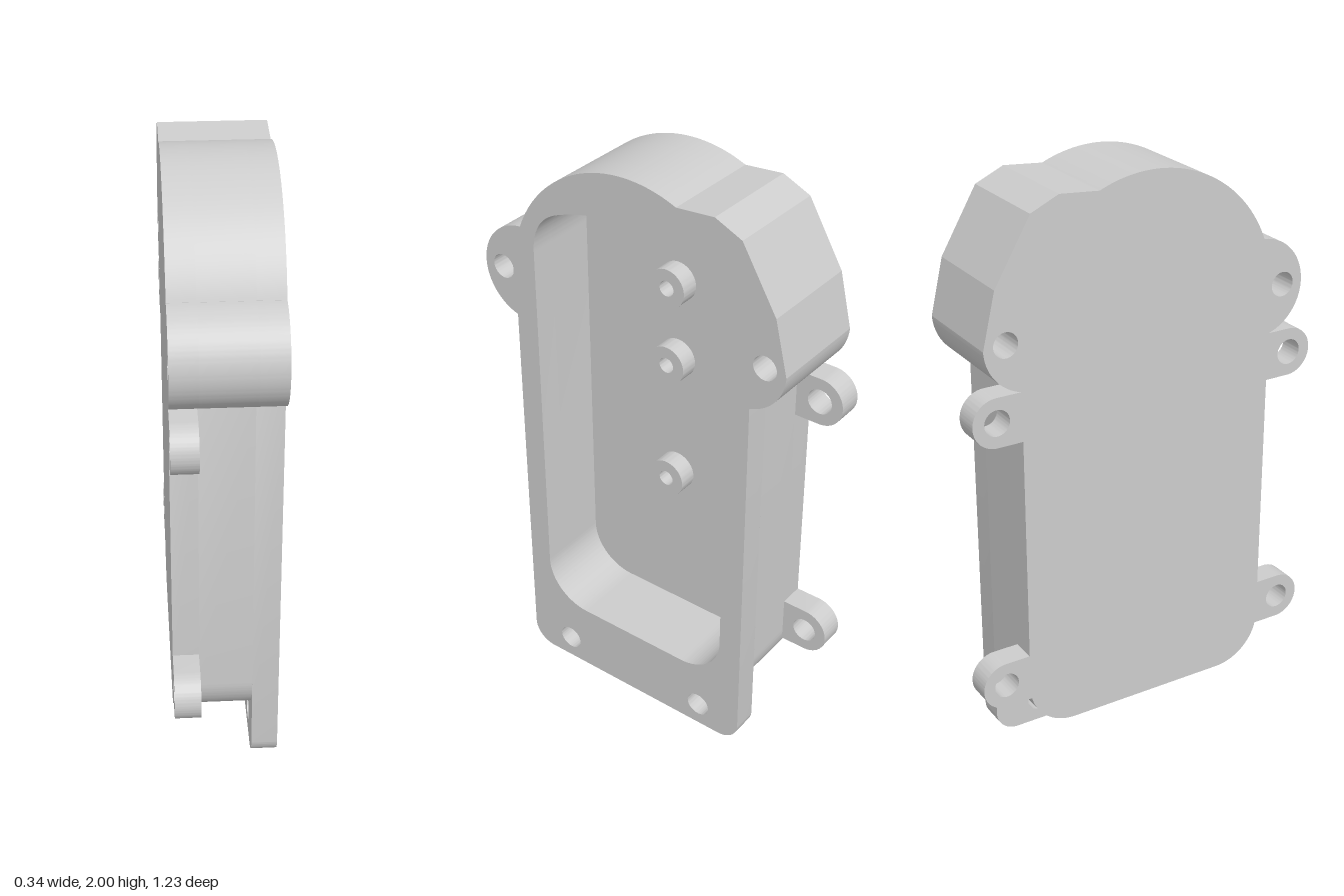
import * as THREE from 'three';
import { toCreasedNormals } from 'three/addons/utils/BufferGeometryUtils.js';

const Q = Math.PI / 2;
// Depth levels along x: back face, cavity floor, flange start, open front face
const BACK = -0.1725, FLOOR = -0.086, FLANGE = 0.086, FACE = 0.1725;

const circle = (u, y, r) => new THREE.Path().absarc(u, y, r, 0, Math.PI * 2, false);

// Housing silhouette (u = -z, y), drawn clockwise, with a chosen bottom edge and corner radius
function housingOutline(bottom, r) {
  const s = new THREE.Shape();
  s.moveTo(-0.45, bottom + r);
  s.lineTo(-0.45, 1.39);
  s.absarc(-0.407, 1.55, 0.165, Math.atan2(-0.16, -0.043), Math.atan2(0.164, -0.013), true);
  s.absarc(0, 1.548, 0.452, Math.atan2(0.167, -0.42), Math.atan2(0.416, 0.178), true);
  s.lineTo(0.312, 1.975);
  s.lineTo(0.407, 1.932);
  s.lineTo(0.529, 1.725);
  s.absarc(0.407, 1.55, 0.165, -0.04, Math.atan2(-0.16, 0.043), true);
  s.lineTo(0.45, bottom + r);
  s.absarc(0.45 - r, bottom + r, r, 0, -Q, true);
  s.absarc(-0.45 + r, bottom + r, r, -Q, -2 * Q, true);
  // Through holes in the two ears
  for (const side of [-1, 1]) s.holes.push(circle(side * 0.498, 1.55, 0.041));
  return s;
}

// Opening of the inner pocket, drawn counterclockwise so its walls face inwards
function pocket() {
  const p = new THREE.Path();
  const w = 0.368, r = 0.16, y = 0.252 + r;
  p.moveTo(-w, y);
  p.absarc(-w + r, y, r, -2 * Q, -Q, false);
  p.absarc(w - r, y, r, -Q, 0, false);
  p.lineTo(w, 1.62);
  p.quadraticCurveTo(w, 1.712, 0.3, 1.754);
  p.absarc(-0.03, 1.211, 0.636, Math.atan2(0.543, 0.33), Math.atan2(0.589, -0.24), false);
  p.quadraticCurveTo(-w, 1.76, -w, 1.64);
  p.lineTo(-w, y);
  return p;
}

// Side mounting lug with a rounded end
function lugOutline(side, y) {
  const s = new THREE.Shape();
  s.moveTo(side * 0.43, y - 0.082);
  s.lineTo(side * 0.535, y - 0.082);
  s.absarc(side * 0.535, y, 0.082, -Q, Q, side < 0);
  s.lineTo(side * 0.43, y + 0.082);
  s.closePath();
  s.holes.push(circle(side * 0.535, y, 0.043));
  return s;
}

export function createModel() {
  const group = new THREE.Group();
  group.name = 'housingCover';
  const grey = new THREE.MeshStandardMaterial({ color: 0xcccccc });
  grey.name = 'plainGrey';

  // Extrudes a side-view shape from x0 to x1
  function slab(name, shape, x0, x1) {
    let geo = new THREE.ExtrudeGeometry(shape, { depth: x1 - x0, bevelEnabled: false, curveSegments: 32 });
    geo = toCreasedNormals(geo, 0.28);
    geo.rotateY(Q);
    geo.translate(x0, 0, 0);
    const mesh = new THREE.Mesh(geo, grey);
    mesh.name = name;
    group.add(mesh);
  }

  // Closed back, hollow wall, and longer front flange
  slab('backWall', housingOutline(0.168, 0.165), BACK, FLOOR);

  const wall = housingOutline(0.168, 0.165);
  wall.holes.push(pocket());
  slab('sideWall', wall, FLOOR, FLANGE);

  const flange = housingOutline(0, 0.08);
  flange.holes.push(pocket());
  for (const side of [-1, 1]) flange.holes.push(circle(side * 0.284, 0.085, 0.043));
  slab('frontFlange', flange, FLANGE, FACE);

  // Four mounting lugs along the back
  for (const side of [-1, 1]) {
    for (const y of [1.309, 0.378]) slab('mountingLug', lugOutline(side, y), BACK, -0.088);
  }

  // Hollow bosses on the pocket floor
  for (const y of [1.55, 1.268, 0.819]) {
    const boss = new THREE.Shape().absarc(0, y, 0.067, 0, Math.PI * 2, false);
    boss.holes.push(circle(0, y, 0.027));
    slab('screwBoss', boss, FLOOR, -0.022);
  }
  return group;
}
